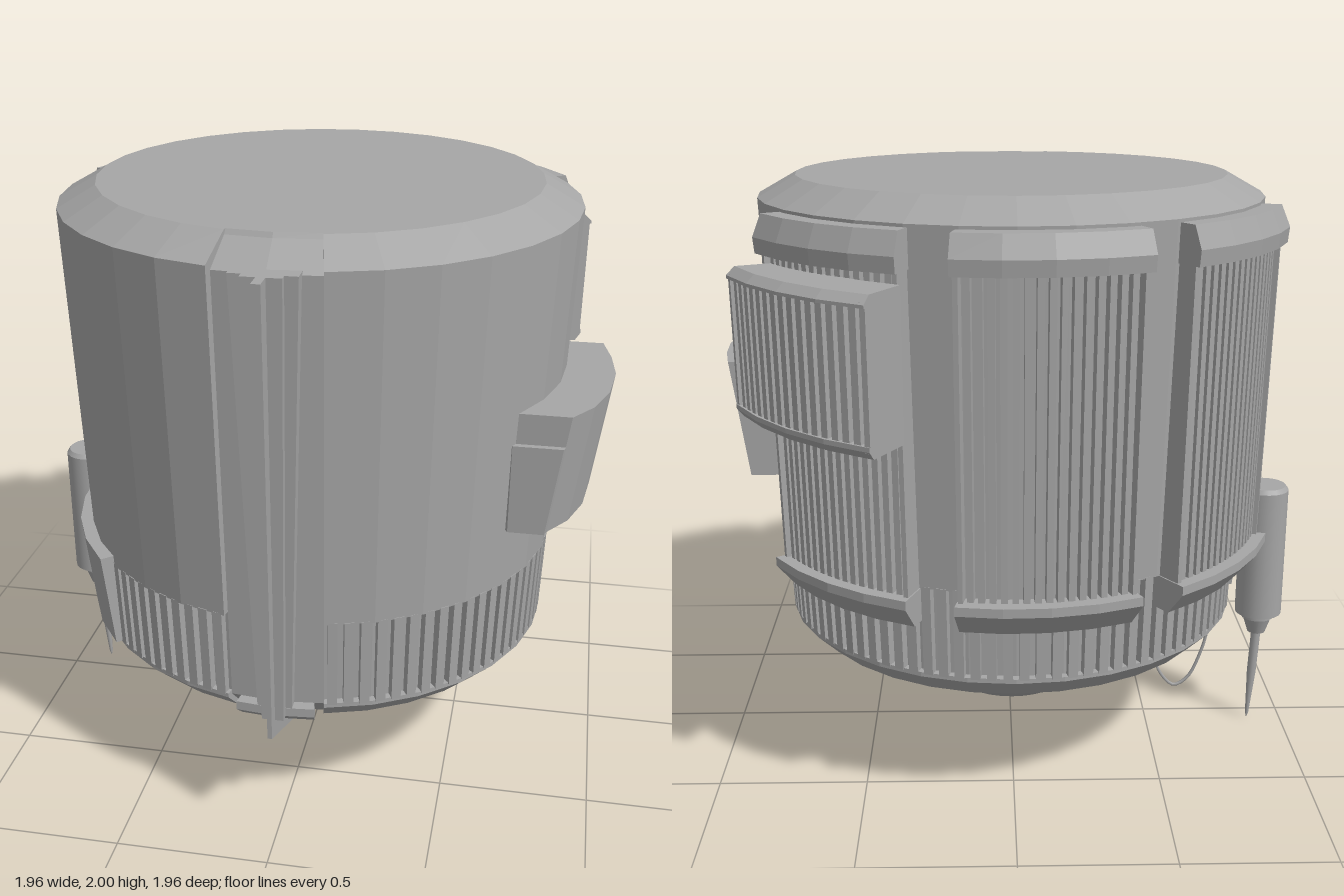
import * as THREE from 'three';
import { mergeGeometries } from 'three/addons/utils/BufferGeometryUtils.js';

const RAD = Math.PI / 180;

// Solid swept around the y axis from angle a0 to a1 (degrees, 0 = +z, 90 = +x).
// The profile is a closed counter-clockwise loop of [radius, y].
function sector(profile, a0, a1, segments) {
  const pos = [];
  const at = ([r, y], a) => [r * Math.sin(a * RAD), y, r * Math.cos(a * RAD)];
  const tri = (a, b, c) => pos.push(...a, ...b, ...c);
  for (let s = 0; s < segments; s++) {
    const p = a0 + (a1 - a0) * s / segments, q = a0 + (a1 - a0) * (s + 1) / segments;
    profile.forEach((u, i) => {
      const v = profile[(i + 1) % profile.length];
      if (u[0] > 0) tri(at(u, p), at(u, q), at(v, q));
      if (v[0] > 0) tri(at(u, p), at(v, q), at(v, p));
    });
  }
  const contour = profile.map(([r, y]) => new THREE.Vector2(r, y));
  for (const [i, j, k] of THREE.ShapeUtils.triangulateShape(contour, [])) {
    tri(at(profile[i], a0), at(profile[j], a0), at(profile[k], a0));
    tri(at(profile[k], a1), at(profile[j], a1), at(profile[i], a1));
  }
  const g = new THREE.BufferGeometry();
  g.setAttribute('position', new THREE.Float32BufferAttribute(pos, 3));
  g.computeVertexNormals();
  return g;
}

// Evenly spaced vertical ribs filling an angular range
function ribs(profile, a0, a1, count, fill) {
  const pitch = (a1 - a0) / count, half = pitch * fill / 2;
  return mergeGeometries(Array.from({ length: count }, (_, i) => {
    const mid = a0 + (i + 0.5) * pitch;
    return sector(profile, mid - half, mid + half, 1);
  }));
}

// Upright slab whose half width and front depth differ at bottom and top
function taperedSlab(y0, y1, w0, w1, back0, back1, front0, front1) {
  const g = new THREE.BoxGeometry(1, 1, 1), p = g.attributes.position;
  for (let i = 0; i < p.count; i++) {
    const top = p.getY(i) > 0, front = p.getZ(i) > 0;
    p.setXYZ(i, Math.sign(p.getX(i)) * (top ? w1 : w0), top ? y1 : y0,
      front ? (top ? front1 : front0) : (top ? back1 : back0));
  }
  g.computeVertexNormals();
  return g;
}

export function createModel() {
  const grey = new THREE.MeshStandardMaterial({ color: 0xa6a6a6 });
  grey.name = 'grey';
  const model = new THREE.Group();
  model.name = 'canister';
  const root = new THREE.Group();
  root.name = 'assembly';
  root.position.set(-0.003, 0, 0.045);
  model.add(root);
  const add = (name, geometry, x = 0, y = 0, z = 0, parent = root) => {
    const m = new THREE.Mesh(geometry, grey);
    m.name = name;
    m.position.set(x, y, z);
    parent.add(m);
    return m;
  };

  // Faceted body with a recessed slot band; two front facets are left open for the channel
  add('body', sector([[0, 0.15], [0.22, 0.15], [0.61, 0.42], [0.72, 0.42], [0.79, 0.49], [0.79, 0.505],
    [0.765, 0.505], [0.775, 0.8], [0.803, 0.8], [0.845, 1.93], [0.72, 2], [0, 2]], 11.25, 348.75, 30));
  add('bandRibs', ribs([[0.75, 0.5], [0.79, 0.5], [0.802, 0.805], [0.75, 0.805]], 11.25, 348.75, 90, 0.6));
  add('frontChannel', sector([[0, 0.15], [0.22, 0.15], [0.6, 0.42], [0.7, 0.42], [0.765, 0.49],
    [0.815, 1.91], [0.72, 1.985], [0.71, 2], [0, 2]], -11.25, 11.25, 2));

  // Converging front rails and centre fin
  add('railBase', taperedSlab(0.47, 1.92, 0.055, 0.1, 0.7, 0.76, 0.795, 0.85));
  add('railTop', taperedSlab(0.46, 1.92, 0.035, 0.06, 0.7, 0.76, 0.825, 0.875));
  const finShape = new THREE.Shape([[0.235, 0.16], [0.255, 0.135], [0.87, 0.42], [0.935, 1.92], [0.8, 1.92],
    [0.74, 0.48], [0.6, 0.4]].map(([z, y]) => new THREE.Vector2(-z, y)));
  const fin = new THREE.ExtrudeGeometry(finShape, { depth: 0.03, bevelEnabled: false });
  fin.translate(0, 0, -0.015).rotateY(Math.PI / 2);
  const fp = fin.attributes.position;
  for (let i = 0; i < fp.count; i++) fp.setX(i, fp.getX(i) * (0.35 + 0.3 * fp.getY(i)));
  fin.computeVertexNormals();
  add('centreFin', fin);
  for (const side of [-1, 1]) {
    const a = [side * 1.5, side * 9].sort((m, n) => m - n);
    add('channelFoot', sector([[0.66, 0.42], [0.755, 0.42], [0.8, 0.46], [0.8, 0.49], [0.66, 0.49]], ...a, 1));
  }

  // Three ribbed radiator panels around the back
  for (const a of [121.3, 168, 214.5]) {
    const b = a + 37;
    const panel = new THREE.Group();
    panel.name = 'radiatorPanel';
    root.add(panel);
    const put = (name, g) => add(name, g, 0, 0, 0, panel);
    put('panelCore', sector([[0.75, 0.75], [0.84, 0.75], [0.865, 1.86], [0.75, 1.86]], a + 0.8, b - 0.8, 4));
    put('panelRibs', ribs([[0.8, 0.78], [0.872, 0.78], [0.893, 1.83], [0.8, 1.83]], a + 1.5, b - 1.5, 15, 0.6));
    put('topCap', sector([[0.78, 1.8], [0.93, 1.8], [0.935, 1.85], [0.905, 1.92], [0.78, 1.92]], a, b, 4));
    put('bottomCap', sector([[0.76, 0.69], [0.85, 0.69], [0.915, 0.77], [0.915, 0.8], [0.76, 0.8]], a, b, 4));
    const edge = [[0.76, 0.78], [0.885, 0.78], [0.91, 1.83], [0.76, 1.83]];
    put('leftEdge', sector(edge, a + 0.3, a + 1.3, 1));
    put('rightEdge', sector(edge, b - 1.3, b - 0.3, 1));
  }

  // Outer radiator set askew on the left rear panel
  const outer = new THREE.Group();
  outer.name = 'outerRadiator';
  outer.position.set(-0.097, 0, -0.079);
  root.add(outer);
  const [o0, o1] = [115.7, 151.3];
  const put = (name, g) => add(name, g, 0, 0, 0, outer);
  put('outerCore', sector([[0.89, 1.32], [1.035, 1.32], [1.04, 1.75], [0.89, 1.75]], o0 + 0.8, o1 - 0.8, 4));
  put('outerRibs', ribs([[0.98, 1.33], [1.06, 1.33], [1.066, 1.74], [0.98, 1.74]], o0 + 1.5, o1 - 1.5, 15, 0.6));
  put('outerTopCap', sector([[0.89, 1.735], [1.078, 1.735], [1.078, 1.745], [1.05, 1.77], [0.89, 1.77]], o0, o1, 4));
  put('outerBottomCap', sector([[0.89, 1.3], [1.05, 1.3], [1.07, 1.325], [1.07, 1.34], [0.89, 1.34]], o0, o1, 4));
  for (const a of [o0, o1 - 1])
    put('outerEdge', sector([[0.89, 1.32], [1.066, 1.32], [1.072, 1.75], [0.89, 1.75]], a, a + 1, 1));

  // Side box on the left, leaning inward toward its base, with a lower step
  const sideBox = (outline, height) => {
    const g = new THREE.ExtrudeGeometry(new THREE.Shape(outline.map(([x, z]) => new THREE.Vector2(x, -z))),
      { depth: height, bevelEnabled: false });
    g.rotateX(-Math.PI / 2).translate(0, 1.005, 0);
    const p = g.attributes.position;
    for (let i = 0; i < p.count; i++) {
      const x = p.getX(i);
      if (x > 0.7) p.setX(i, x - 0.14 * (1.405 - p.getY(i)));
    }
    g.computeVertexNormals();
    return g;
  };
  add('sideBox', sideBox([[0.6, -0.235], [0.945, -0.235], [0.972, -0.1], [0.985, 0.05], [0.965, 0.22],
    [0.92, 0.35], [0.855, 0.445], [0.69, 0.445], [0.6, 0.3]], 0.395));
  add('sideBoxStep', sideBox([[0.6, 0.3], [0.9, 0.3], [0.85, 0.465], [0.68, 0.465]], 0.295));

  // Shallow pad on the right front
  add('sidePad', sector([[0.74, 0.5], [0.812, 0.5], [0.847, 0.83], [0.74, 0.83]], -92, -48, 4));

  // Probe: tank, nozzle and spike
  const lathe = (pts, n = 20) =>
    new THREE.LatheGeometry(pts.map(([r, y]) => new THREE.Vector2(r, y)), n);
  add('probeTank', new THREE.CylinderGeometry(0.083, 0.083, 0.47, 20), -0.897, 0.665, -0.105);
  add('probeTankRim', new THREE.CylinderGeometry(0.072, 0.083, 0.015, 20), -0.897, 0.9075, -0.105);
  add('probeNozzle', new THREE.CylinderGeometry(0.058, 0.032, 0.08, 20), -0.895, 0.39, -0.105);
  add('probeCollar', new THREE.CylinderGeometry(0.058, 0.058, 0.03, 20), -0.895, 0.425, -0.105);
  const spike = add('probeSpike', lathe([[0, -0.36], [0.006, -0.34], [0.016, -0.17], [0.017, 0]], 10),
    -0.893, 0.36, -0.115);
  spike.rotation.z = 0.05;

  // Small nozzle, hanging cable and ball joint under the body
  const cz = 0.035;
  add('cableNozzle', lathe([[0, 0.33], [0.022, 0.33], [0.032, 0.36], [0.058, 0.395], [0.058, 0.52], [0, 0.52]]),
    -0.752, 0, cz);
  const path = new THREE.CatmullRomCurve3([[-0.752, 0.34], [-0.72, 0.2], [-0.67, 0.09], [-0.62, 0.062],
    [-0.57, 0.11], [-0.535, 0.2], [-0.522, 0.26]].map(([x, y]) => new THREE.Vector3(x, y, cz)));
  add('cable', new THREE.TubeGeometry(path, 32, 0.006, 6));
  add('ballJoint', new THREE.SphereGeometry(0.09, 24, 16), -0.395, 0.28, cz);
  add('ballCap', new THREE.SphereGeometry(0.045, 16, 12), -0.395, 0.265, cz + 0.065);
  add('ballSocket', new THREE.CylinderGeometry(0.04, 0.02, 0.06, 16), -0.5, 0.275, cz).rotation.z = Math.PI / 2 * -1;
  return model;
}
